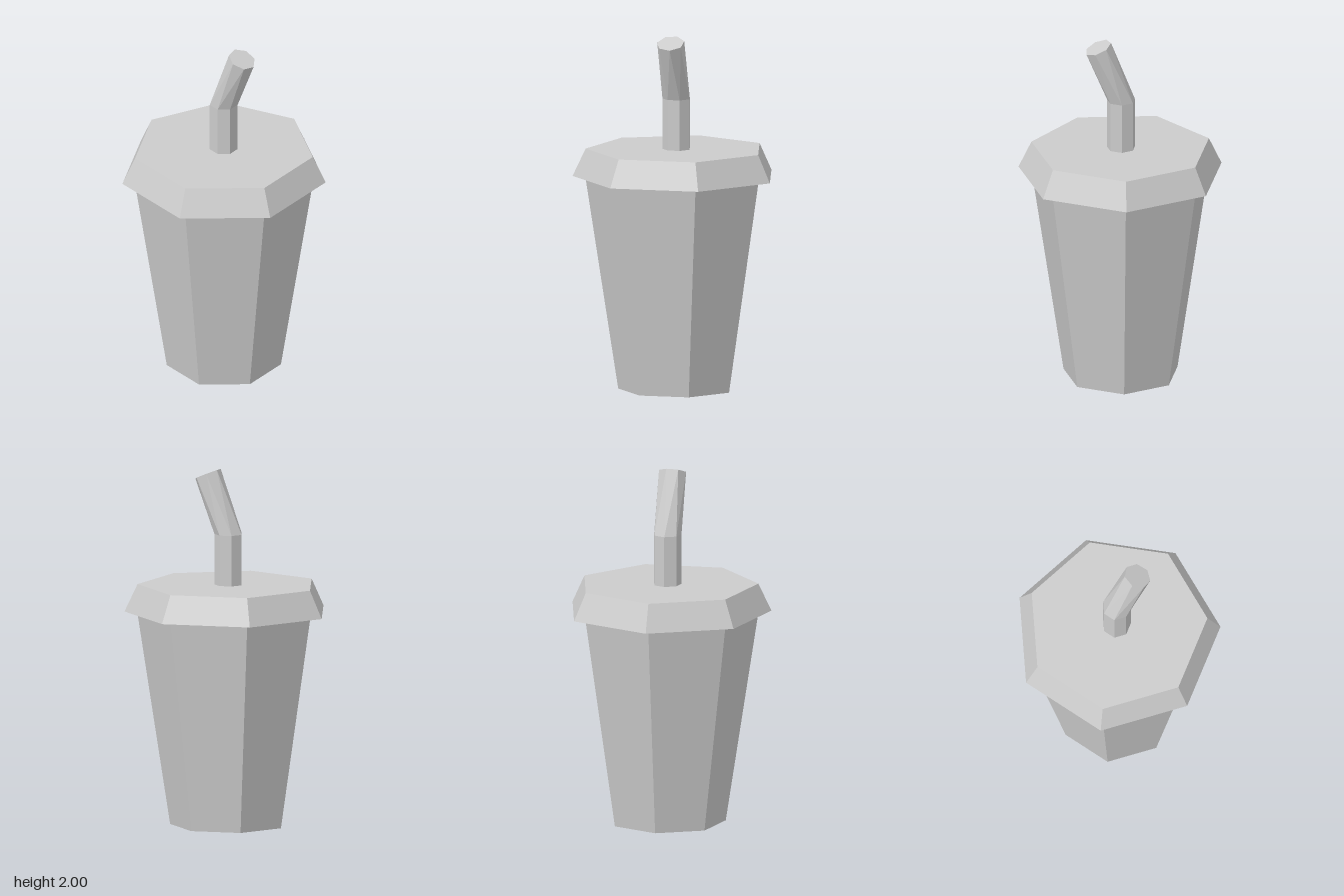
import * as THREE from 'three';

const SIDES = 7;
const CENTRE_Z = 0.027;

export function createModel() {
  const group = new THREE.Group();
  group.name = 'drinkCup';
  const material = new THREE.MeshStandardMaterial({ color: 0xcccccc, flatShading: true });

  // Seven-sided frustum between two heights, one corner pointing to the back
  const frustum = (rTop, rBottom, y0, y1, rings = 1) =>
    new THREE.CylinderGeometry(rTop, rBottom, y1 - y0, SIDES, rings, false, Math.PI)
      .translate(0, (y0 + y1) / 2, 0);

  const add = (name, geometry) => {
    const mesh = new THREE.Mesh(geometry, material);
    mesh.name = name;
    mesh.position.z = CENTRE_Z;
    group.add(mesh);
  };

  // Tapered cup and overhanging lid
  add('cup', frustum(0.511, 0.327, 0, 1.2));
  add('lid', frustum(0.509, 0.582, 1.2, 1.355));

  // Straw: upright lower half, upper ring twisted, tilted and shifted forward
  const yBase = 1.355, yBend = 1.64, yTop = 1.97;
  const straw = frustum(0.08, 0.08, yBase, yTop, 2);
  const pos = straw.attributes.position;
  const yMid = (yBase + yTop) / 2;
  const bend = new THREE.Matrix4()
    .makeTranslation(-0.003, yTop, 0.16 - CENTRE_Z)
    .multiply(new THREE.Matrix4().makeRotationX(0.405))
    .multiply(new THREE.Matrix4().makeRotationY(-0.29))
    .multiply(new THREE.Matrix4().makeScale(0.975, 1, 0.975));
  const v = new THREE.Vector3();
  for (let i = 0; i < pos.count; i++) {
    v.fromBufferAttribute(pos, i);
    if (v.y > yMid + 0.1) v.setY(0).applyMatrix4(bend);
    else if (v.y > yMid - 0.1) v.y = yBend;
    pos.setXYZ(i, v.x, v.y, v.z);
  }
  straw.computeVertexNormals();
  add('straw', straw);

  return group;
}
